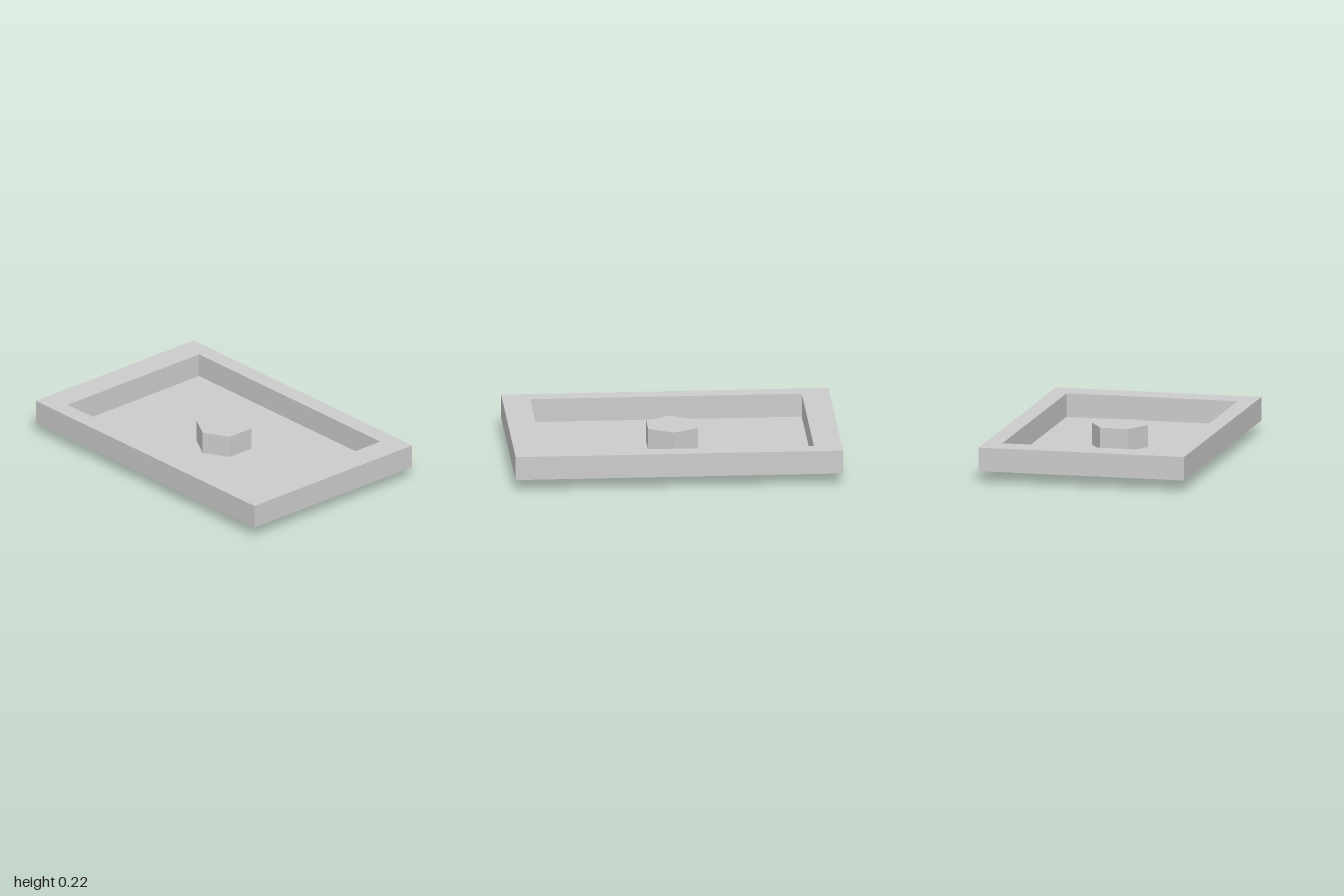
import * as THREE from 'three';

const OUTER = { x: 1, z: 0.645 };
const INNER = { x: 0.83, z: 0.537 };
const FLOOR_Y = 0.069, RIM_Y = 0.215, KNOB_TOP = 0.205;

export function createModel() {
  const model = new THREE.Group();
  const sheet = new THREE.MeshStandardMaterial({ color: 0xcccccc, flatShading: true, side: THREE.DoubleSide });
  const solid = new THREE.MeshStandardMaterial({ color: 0xcccccc, flatShading: true });

  function add(parent, name, geometry, material) {
    const mesh = new THREE.Mesh(geometry, material);
    mesh.name = name;
    parent.add(mesh);
    return mesh;
  }

  // Four thin upright walls around a rectangle; facing 1 = outward, -1 = inward
  function addWalls(name, half, facing) {
    const walls = new THREE.Group();
    walls.name = name;
    const height = RIM_Y - FLOOR_Y;
    for (let i = 0; i < 4; i++) {
      const alongX = i % 2 === 0;
      const geo = new THREE.PlaneGeometry(2 * (alongX ? half.x : half.z), height);
      if (facing < 0) geo.rotateY(Math.PI);
      geo.translate(0, (RIM_Y + FLOOR_Y) / 2, alongX ? half.z : half.x);
      geo.rotateY(i * Math.PI / 2);
      add(walls, name + 'Side', geo, sheet);
    }
    model.add(walls);
  }
  addWalls('outerWall', OUTER, 1);
  addWalls('innerWall', INNER, -1);

  // Flat rim joining the two walls; the gap beneath it stays open
  const corners = (h) => [[-h.x, -h.z], [h.x, -h.z], [h.x, h.z], [-h.x, h.z]].map(([x, z]) => new THREE.Vector2(x, z));
  const rimShape = new THREE.Shape(corners(OUTER));
  rimShape.holes.push(new THREE.Path(corners(INNER)));
  const rim = new THREE.ShapeGeometry(rimShape).rotateX(-Math.PI / 2).translate(0, RIM_Y, 0);
  add(model, 'rim', rim, sheet);

  // Sunken floor
  const floor = new THREE.PlaneGeometry(2 * INNER.x, 2 * INNER.z).rotateX(-Math.PI / 2).translate(0, FLOOR_Y, 0);
  add(model, 'floor', floor, sheet);

  // Hexagonal post passing through the floor
  const post = new THREE.CylinderGeometry(0.175, 0.175, KNOB_TOP, 6).translate(0, KNOB_TOP / 2, 0);
  add(model, 'hexPost', post, solid);

  return model;
}
